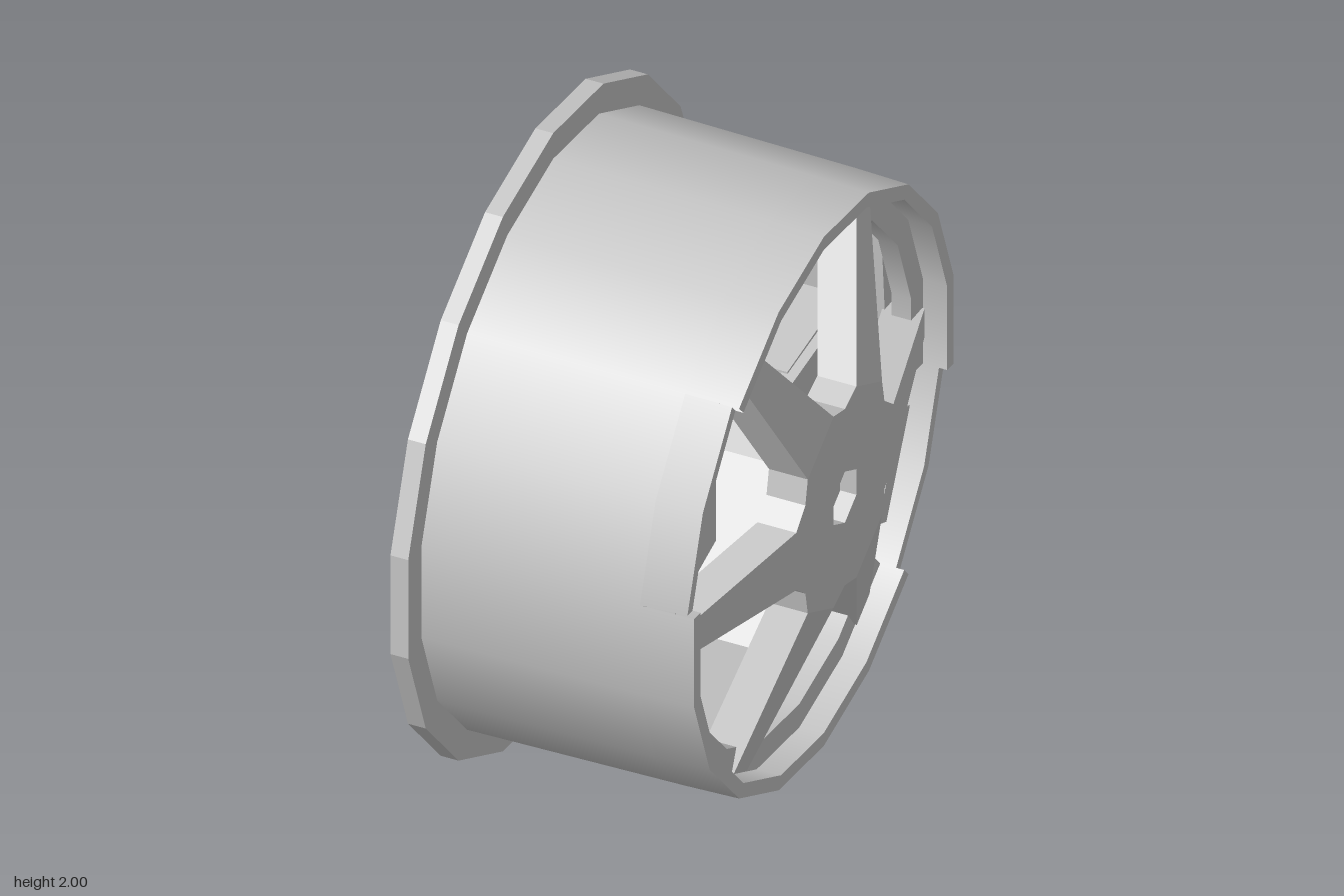
import * as THREE from 'three';
import { mergeGeometries } from 'three/addons/utils/BufferGeometryUtils.js';

const RAD = Math.PI / 180;
const SIDES = 18;

// The wheel axle is x. Angles run in degrees from the top towards +z.
const polar = (r, deg) => [r * Math.sin(deg * RAD), r * Math.cos(deg * RAD)];
const polygon = (r, n) => Array.from({ length: n }, (_, i) => polar(r, (i * 360) / n));

// Turned part: each profile edge [radius, x] stays sharp, smooth around the axle
function turned(profile, start = 0, sweep = 360, sides = SIDES, closed = true) {
  const parts = [];
  const count = closed ? profile.length : profile.length - 1;
  for (let i = 0; i < count; i++) {
    const pair = [profile[i], profile[(i + 1) % profile.length]];
    parts.push(new THREE.LatheGeometry(
      pair.map(([r, x]) => new THREE.Vector2(r, x)),
      Math.round((sides * sweep) / 360), (start - 90) * RAD, sweep * RAD));
  }
  return mergeGeometries(parts).rotateZ(-Math.PI / 2);
}

// Flat part: outline of [z, y] points, extruded along x
function plate(points, x0, x1, hole) {
  const toVec = (list) => list.map(([z, y]) => new THREE.Vector2(-z, y));
  const shape = new THREE.Shape(toVec(points));
  if (hole) shape.holes.push(new THREE.Path(toVec(hole)));
  return new THREE.ExtrudeGeometry(shape, { depth: x1 - x0, bevelEnabled: false })
    .rotateY(Math.PI / 2).translate(x0, 0, 0);
}

// One spoke, sloping back towards the rim
function spoke(angle) {
  const tip = Math.atan2(0.05, 0.835) / RAD;
  const g = plate([polar(0.345, angle - 17), polar(0.836, angle - tip),
    polar(0.836, angle + tip), polar(0.345, angle + 17)], 0.38, 0.5);
  const p = g.attributes.position;
  for (let i = 0; i < p.count; i++) {
    const r = Math.hypot(p.getY(i), p.getZ(i));
    p.setX(i, p.getX(i) - 0.28 * Math.max(0, r - 0.36));
  }
  g.computeVertexNormals();
  return g;
}

export function createModel() {
  const wheel = new THREE.Group();
  wheel.name = 'wheel';
  wheel.position.y = 1;
  const metal = new THREE.MeshStandardMaterial({ color: 0xc8c8c8, side: THREE.DoubleSide });
  metal.name = 'grey metal';

  const add = (name, geometry, parent = wheel) => {
    const mesh = new THREE.Mesh(geometry, metal);
    mesh.name = name;
    parent.add(mesh);
  };

  // Rear flange and inner liner share a coarse, slightly uneven opening
  const opening = [-7, 46, 89, 140, 197, 248, 301].map((a) => polar(0.87, a));
  add('rearFlange', plate(polygon(1, SIDES), -0.455, -0.4, opening));
  add('barrelLiner', plate(polygon(0.893, SIDES), -0.4, 0.27, opening));

  // Barrel outside
  add('barrel', turned([[0.91, -0.4], [0.9, 0.27]], 0, 360, SIDES, false));

  // Front lip and spoke seat, interrupted by two opposite recessed panels
  for (const half of [0, 180]) {
    const side = new THREE.Group();
    side.name = half ? 'rearLipHalf' : 'frontLipHalf';
    wheel.add(side);
    add('frontLip', turned([[0.9, 0.27], [0.895, 0.435], [0.85, 0.435], [0.855, 0.27]],
      80 + half, 140), side);
    add('spokeSeat', turned([[0.86, 0.3], [0.855, 0.36], [0.77, 0.36], [0.77, 0.3]],
      80 + half, 140), side);
    add('recessedPanel', turned([[0.9, 0.27], [0.885, 0.41], [0.85, 0.41], [0.855, 0.27]],
      40 + half, 40), side);
  }

  // Star centre with a hexagonal socket, and six spokes
  const centre = [];
  for (let i = 0; i < 6; i++) {
    const a = 30 + i * 60;
    centre.push(polar(0.345, a - 17), polar(0.345, a + 17), polar(0.31, a + 30));
    add('spoke', spoke(a));
  }
  add('starCentre', plate(centre, 0.38, 0.5, polygon(0.09, 6)));
  add('socketFloor', plate(polygon(0.1, 6), 0.4, 0.45));

  // Axle hub, ending at the backing plate
  add('hub', turned([[0, -0.5], [0.28, -0.5], [0.28, -0.1]], 22.5, 360, 8, false));
  add('backingPlate', plate([[0, 0.675], [0.38, 0.59], [0.38, -0.59],
    [0, -0.675], [-0.38, -0.59], [-0.38, 0.59]], -0.12, -0.07));

  // Brake pieces, repeated half a turn round the axle
  for (const half of [0, 1]) {
    const brake = new THREE.Group();
    brake.name = half ? 'lowerBrake' : 'upperBrake';
    brake.rotation.x = half * Math.PI;
    wheel.add(brake);
    add('brakeSegment', plate([[0.3, 0.61], [0.38, 0.59], [0.49, 0.53], [0.63, 0.34],
      [0.71, 0.18], [0.76, -0.08], [0.3, -0.06]], 0.13, 0.18), brake);
    add('brakeWall', plate([[0.575, 0.42], [0.765, 0.1], [0.745, 0.09], [0.555, 0.41]],
      -0.25, 0.14), brake);
    add('brakeBracket', plate([[0.38, -0.04], [0.75, -0.04], [0.75, -0.09], [0.38, -0.07]],
      -0.18, 0.15), brake);
    add('retainerBar', plate([[0.59, 0.535], [0.75, 0.235], [0.7, 0.21], [0.53, 0.505]],
      0.25, 0.36), brake);
  }
  return wheel;
}
